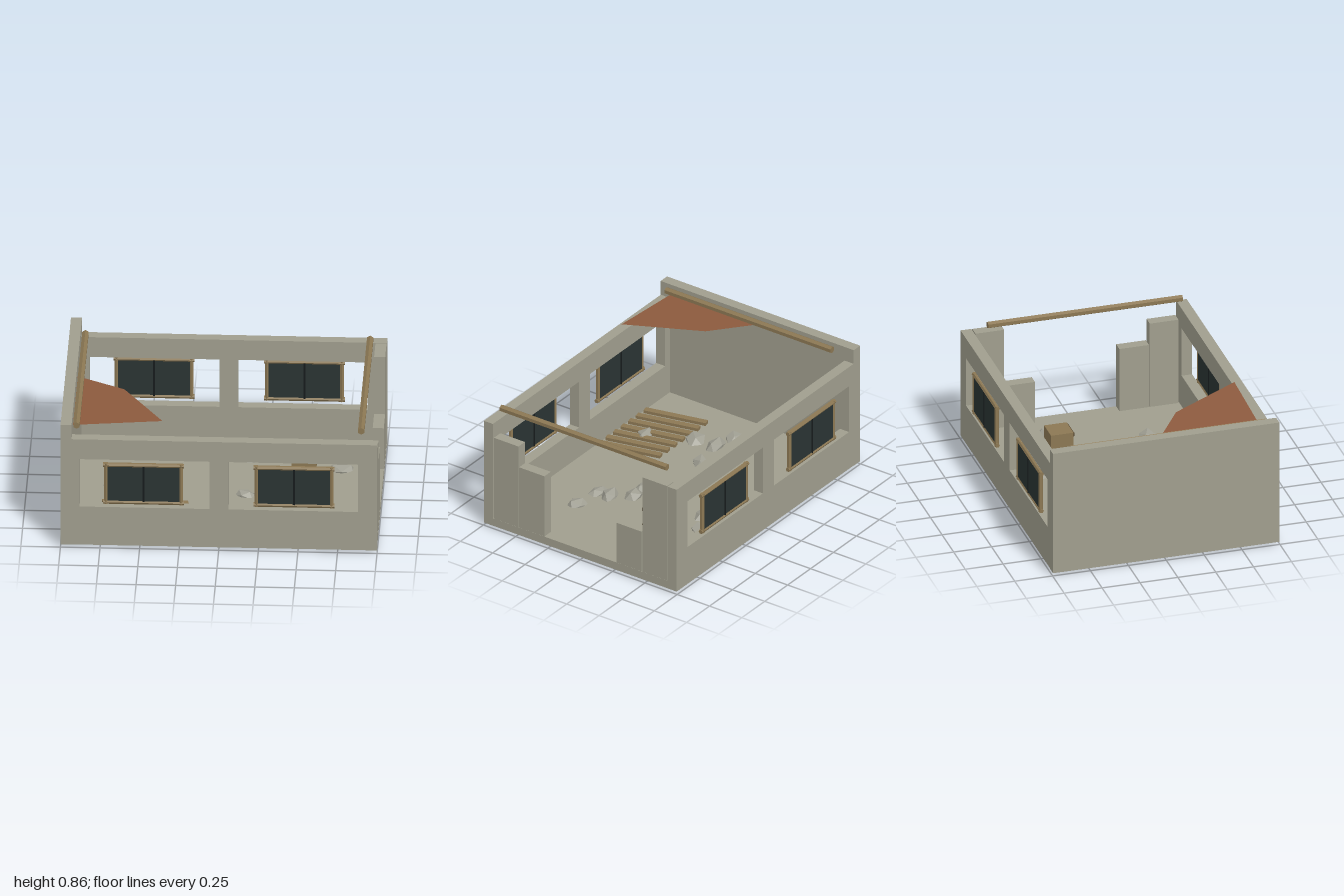
import * as THREE from 'three';

const mat = (name, color, side = THREE.FrontSide) => {
  const m = new THREE.MeshStandardMaterial({ color, side, flatShading: true });
  m.name = name;
  return m;
};

export function createModel() {
  const concrete = mat('concrete', 0xa09e8e);
  const rubble = mat('rubble', 0xa09f93);
  const wood = mat('wood', 0x8b7753);
  const darkWood = mat('dark wood', 0x4a3c28);
  const rust = mat('rusty sheet', 0x8c5a3e, THREE.DoubleSide);
  const glass = mat('dark glass', 0x2a3433);
  const bar = mat('window bar', 0x161b1c);

  const root = new THREE.Group();
  root.name = 'ruinedRoom';
  const add = (parent, name, geo, material, x = 0, y = 0, z = 0) => {
    const m = new THREE.Mesh(geo, material);
    m.name = name;
    m.position.set(x, y, z);
    parent.add(m);
    return m;
  };
  // box given by its min and max on each axis
  const block = (parent, name, material, x0, x1, y0, y1, z0, z1) =>
    add(parent, name, new THREE.BoxGeometry(x1 - x0, y1 - y0, z1 - z0), material,
      (x0 + x1) / 2, (y0 + y1) / 2, (z0 + z1) / 2);

  // floor and intact side wall
  block(root, 'floor', concrete, -0.998, 0.998, 0.025, 0.08, -0.745, 0.745);
  block(root, 'sideWall', concrete, -1, -0.93, 0.025, 0.87, -0.747, 0.747);

  // front and back walls with two window openings each
  const rect = (P, x0, y0, x1, y1) => {
    const p = new P();
    p.moveTo(x0, y0).lineTo(x1, y0).lineTo(x1, y1).lineTo(x0, y1).closePath();
    return p;
  };
  const wall = rect(THREE.Shape, -0.997, 0.026, 1, 0.77);
  wall.holes.push(rect(THREE.Path, -0.88, 0.295, -0.06, 0.63), rect(THREE.Path, 0.06, 0.295, 0.88, 0.63));
  const wallGeo = new THREE.ExtrudeGeometry(wall, { depth: 0.07, bevelEnabled: false });
  add(root, 'frontWall', wallGeo, concrete, 0, 0, 0.676);
  add(root, 'backWall', wallGeo, concrete, 0, 0, -0.746);

  // stepped remains of the broken wall: z start, z end, top
  [[0.48, 0.67, 0.67], [0.28, 0.475, 0.52], [-0.472, -0.277, 0.37], [-0.67, -0.48, 0.77]]
    .forEach(([z0, z1, top]) => block(root, 'brokenWall', concrete, 0.927, 0.997, 0.078, top, z0, z1));

  // framed windows set near the outer faces
  for (const side of [1, -1]) for (const x of [-0.475, 0.475]) {
    const w = new THREE.Group();
    w.name = 'window';
    w.position.set(x, 0.462, side * 0.74);
    root.add(w);
    add(w, 'pane', new THREE.BoxGeometry(0.47, 0.26, 0.018), glass);
    add(w, 'centreBar', new THREE.BoxGeometry(0.012, 0.25, 0.024), bar);
    for (const s of [1, -1]) {
      const rail = add(w, 'frameRail', new THREE.CylinderGeometry(0.015, 0.015, 0.512, 6), wood, 0, s * 0.13, 0);
      rail.rotation.z = Math.PI / 2;
      add(w, 'framePost', new THREE.CylinderGeometry(0.015, 0.015, 0.285, 6), wood, s * 0.237, 0, 0);
    }
  }

  // hexagonal roof beams
  for (const x of [-0.902, 0.897]) {
    const beam = add(root, 'roofBeam', new THREE.CylinderGeometry(0.023, 0.023, 1.285, 6), wood, x, 0.836, 0.042);
    beam.rotation.x = Math.PI / 2;
  }

  // torn roof sheet, rising slightly inward
  const sheet = new THREE.ShapeGeometry(new THREE.Shape(
    [[-0.925, -0.03], [-0.62, 0.18], [-0.36, 0.645], [-0.925, 0.645]].map(([x, z]) => new THREE.Vector2(x, -z))));
  sheet.rotateX(-Math.PI / 2);
  const sp = sheet.attributes.position;
  for (let i = 0; i < sp.count; i++) sp.setY(i, 0.86 + 0.07 * (sp.getX(i) + 0.36));
  sheet.computeVertexNormals();
  add(root, 'roofSheet', sheet, rust);

  // row of slanted planks on the floor
  for (let i = 0; i < 7; i++) {
    const plank = add(root, 'floorPlank', new THREE.BoxGeometry(0.043, 0.02, 0.425), wood,
      -0.192 - 0.083 * i, 0.09, 0.46);
    plank.rotation.y = 0.225;
  }

  // crate with two slats
  block(root, 'crate', wood, 0.42, 0.572, 0.08, 0.243, -0.326, -0.177);
  for (const y of [0.1, 0.215])
    block(root, 'crateSlat', darkWood, 0.425, 0.567, y, y + 0.02, -0.177, -0.169);

  // rubble: x, z, long radius, short radius, half height, turn
  const rocks = [
    [0.24, -0.465, 0.085, 0.055, 0.045, 0.4], [0.355, -0.465, 0.085, 0.06, 0.05, 0.9],
    [0.2, -0.375, 0.1, 0.05, 0.05, 0.35], [0.735, -0.27, 0.1, 0.07, 0.04, 0],
    [-0.695, 0.015, 0.085, 0.065, 0.062, 0.7], [-0.545, 0.05, 0.095, 0.055, 0.06, 0.1],
    [-0.315, 0, 0.08, 0.055, 0.068, 0.5], [-0.54, 0.21, 0.09, 0.07, 0.06, 0.8],
    [-0.4, 0.49, 0.085, 0.055, 0.045, 0.1], [0.135, 0.115, 0.08, 0.055, 0.05, -0.4],
    [0.26, 0.115, 0.075, 0.06, 0.06, 0.2], [0.35, 0.23, 0.09, 0.055, 0.06, 0],
    [0.34, 0.325, 0.085, 0.055, 0.05, -0.2], [0.55, 0.345, 0.075, 0.06, 0.045, -0.4],
  ];
  rocks.forEach(([x, z, a, b, h, turn], k) => {
    const geo = new THREE.IcosahedronGeometry(1, 0);
    const p = geo.attributes.position;
    const v = new THREE.Vector3();
    for (let i = 0; i < p.count; i++) {
      v.fromBufferAttribute(p, i);
      // same shift for corners that share a position
      const key = Math.round(v.x * 50) * 1.7 + Math.round(v.y * 50) * 3.1 + Math.round(v.z * 50) * 5.3;
      v.multiplyScalar(1 + 0.16 * Math.sin(key + k * 2.4));
      p.setXYZ(i, v.x * a, v.y * h, v.z * b);
    }
    geo.computeVertexNormals();
    add(root, 'rubble', geo, rubble, x, 0.07, z).rotation.y = turn;
  });
  return root;
}
